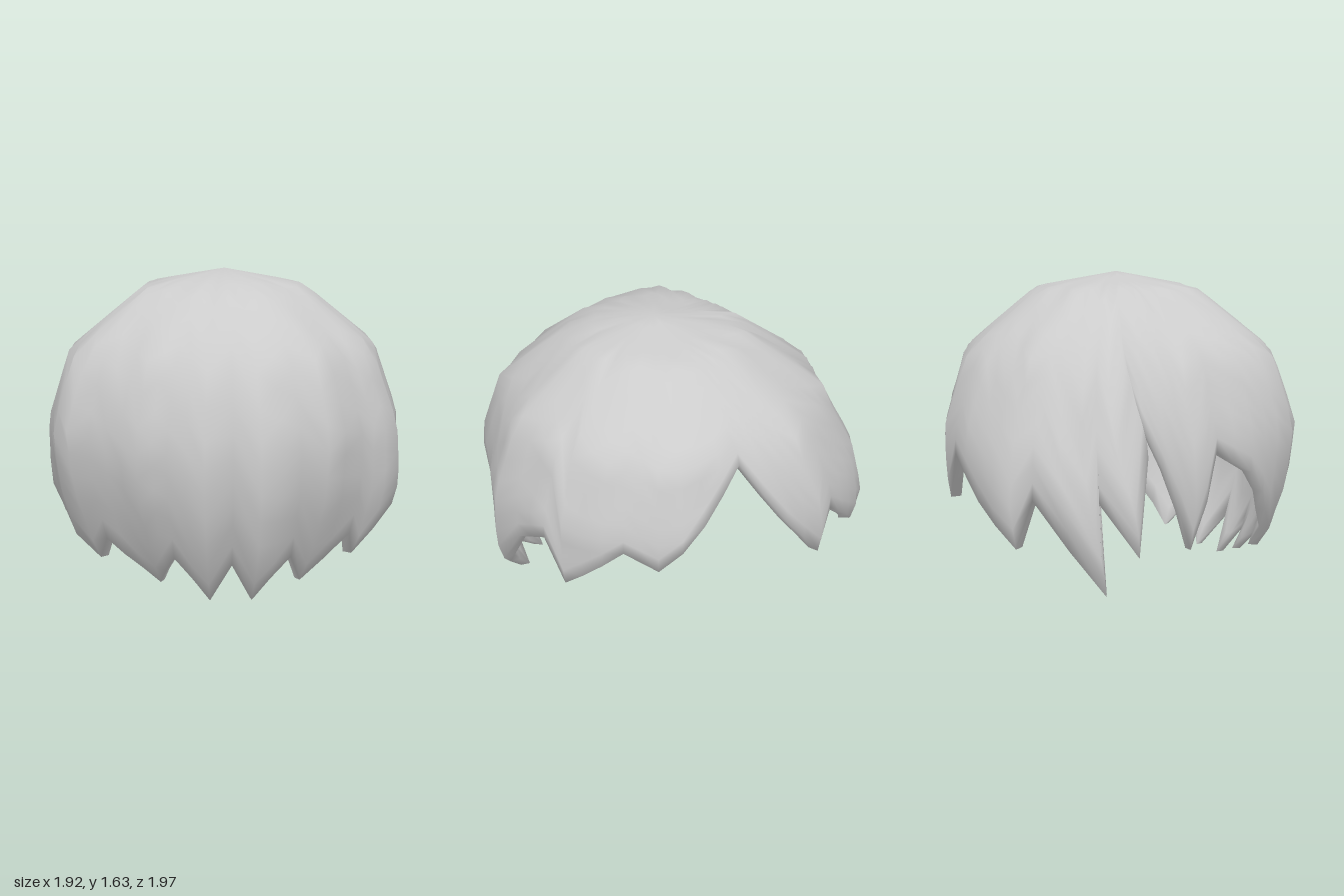
import * as THREE from 'three';
import { mergeVertices } from 'three/addons/utils/BufferGeometryUtils.js';

const { lerp, smoothstep, degToRad } = THREE.MathUtils;
const ROWS = 14;
const THICKNESS = 0.06;
const MID_Y = 0.72;

// Widest outline of the head, seen from above: [x, z]
const RING = [
  [0.03, 1], [0.5, 0.9], [0.9, 0.45], [0.97, 0.07], [0.92, -0.2], [0.72, -0.62],
  [0.4, -0.85], [0, -0.98], [-0.5, -0.84], [-0.8, -0.52], [-0.87, -0.17],
  [-0.92, 0.36], [-0.86, 0.62], [-0.42, 0.9],
];

// Side profile from crown to fringe: [share of the ring's width, height]
const PROFILE = [
  [0, 1.63], [0.45, 1.55], [0.86, 1.24], [1, 0.86], [1, 0.55], [0.91, 0.24], [0.76, 0],
];

// Hairline, walked round the head: [azimuth at crown, azimuth at rim, rim height, flare]
// Azimuth is in degrees from +z towards +x.
const HAIRLINE = [
  // fringe, centre to left temple
  [2, 2, 0.23, 0.98], [10, 10.5, 0, 0.99], [22, 22, 0.25, 0.96], [30, 30.5, 0.08, 0.92],
  [46, 47, 0.31, 0.98], [52, 52, 0.18, 1], [64, 64, 0.42, 1.03], [72, 72, 0.65, 0.99],
  // left side
  [85, 85, 0.77, 1], [91, 91, 0.5, 1], [111, 111, 0.78, 1], [122, 122, 0.67, 0.98],
  [152, 152, 1.18, 0.96],
  // back locks, flaring outwards
  [164, 167, 0.8, 0.97], [176, 181, 0.5, 1], [184, 186, 0.74, 1.02], [211, 213, 0.33, 1.15],
  [217, 218, 0.58, 1.1], [230, 238, 0.1, 1.24], [234, 236, 0.58, 1.11],
  [238, 247, 0.3, 1.2], [241, 250, 0.78, 1.06], [243, 242, 1.15, 0.97],
  // right side
  [256, 256, 0.7, 0.99], [266, 267, 0.28, 1.05], [275, 275, 0.77, 1],
  [288, 288, 0.65, 0.98], [299, 299, 0.42, 0.95],
  // right temple back to the centre of the fringe
  [310, 311, 0.18, 0.93], [317, 318, 0.31, 0.95], [334, 334, 0.08, 0.92],
  [343, 343, 0.25, 0.97], [354, 354, 0, 0.99], [362, 362, 0.23, 0.98],
];

// Split wide gaps so the dome follows the ring
function buildColumns() {
  const columns = [];
  for (let i = 0; i < HAIRLINE.length - 1; i++) {
    const a = HAIRLINE[i], b = HAIRLINE[i + 1];
    const n = Math.max(1, Math.ceil((b[0] - a[0]) / 8));
    for (let k = 0; k < n; k++) columns.push(a.map((v, m) => lerp(v, b[m], k / n)));
  }
  columns.push(HAIRLINE[HAIRLINE.length - 1]);
  return columns;
}

// Distance from the axis to the faceted ring along an azimuth
function ringRadius(az) {
  const dx = Math.sin(az), dz = Math.cos(az);
  return Math.min(...RING.map(([ax, azz], i) => {
    const [bx, bz] = RING[(i + 1) % RING.length];
    const r = (ax * bz - azz * bx) / (dx * (bz - azz) - dz * (bx - ax));
    return r > 0 ? r : Infinity;
  }));
}

// Position along the profile, in knots, at which it reaches a height
function knotAt(y) {
  const i = Math.min(PROFILE.findIndex((p) => p[1] <= y), PROFILE.length - 1);
  return i - 1 + (PROFILE[i - 1][1] - y) / (PROFILE[i - 1][1] - PROFILE[i][1]);
}

// Point on the cap: t = 0 at the crown, t = 1 at the hairline
function capPoint([crown, rim, rimY, flare], t, inset) {
  const knot = t * knotAt(rimY);
  const i = Math.min(Math.floor(knot), PROFILE.length - 2);
  const [width, height] = PROFILE[i].map((v, m) => lerp(v, PROFILE[i + 1][m], knot - i));
  const s = smoothstep(t, 0.45, 1);
  const az = degToRad(lerp(crown, rim, s));
  const r = ringRadius(az) * width * lerp(1, flare, s) * (1 - inset);
  const y = height > MID_Y ? lerp(height, MID_Y, inset) : height;
  // The crown sits slightly forward of the middle
  return [r * Math.sin(az) + 0.03 * (1 - width), y, r * Math.cos(az) + 0.06 * (1 - width) * (y > MID_Y)];
}

// Smooth surface from columns of points, all the same length
function surface(grid) {
  const rows = grid[0].length;
  const index = [];
  for (let i = 0; i < grid.length - 1; i++) {
    for (let j = 0; j < rows - 1; j++) {
      const a = i * rows + j, b = a + rows;
      if (j < rows - 2) index.push(a, a + 1, b + 1);
      if (j > 0) index.push(a, b + 1, b);
    }
  }
  const geometry = new THREE.BufferGeometry();
  geometry.setAttribute('position', new THREE.Float32BufferAttribute(grid.flat(2), 3));
  geometry.setIndex(index);
  const merged = mergeVertices(geometry, 1e-4);
  merged.computeVertexNormals();
  return merged;
}

export function createModel() {
  const group = new THREE.Group();
  group.name = 'hair';

  // Each column runs down the outside, round the hairline and back up the inside
  const grid = buildColumns().map((column) => {
    const side = (inset) =>
      Array.from({ length: ROWS + 1 }, (_, j) => capPoint(column, j / ROWS, inset));
    return [...side(0), ...side(THICKNESS).reverse()];
  });

  const material = new THREE.MeshStandardMaterial({ color: 0xcccccc });
  const cap = new THREE.Mesh(surface(grid), material);
  cap.name = 'hairCap';
  group.add(cap);
  return group;
}
